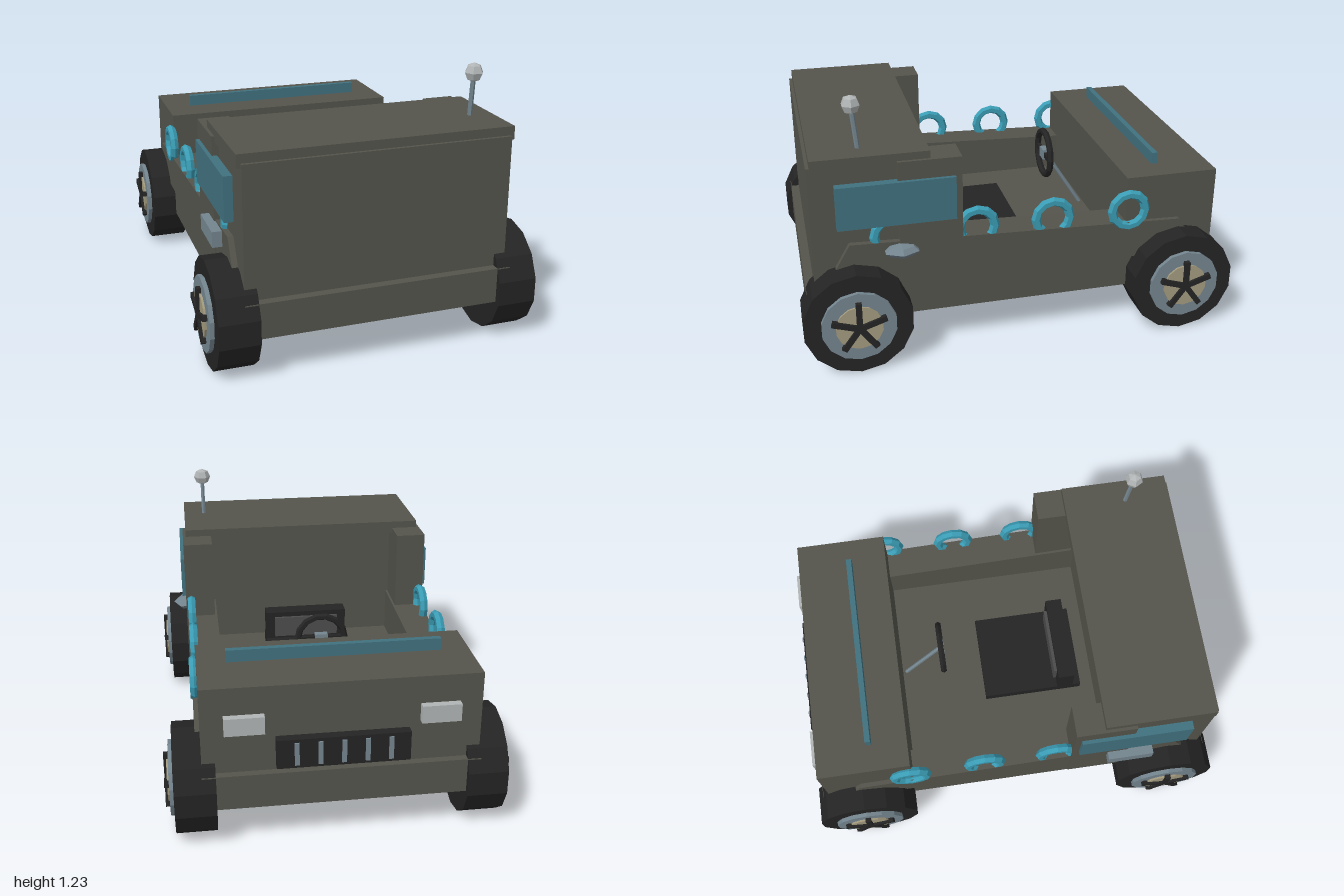
import * as THREE from 'three';

const mat = (name, color) => {
  const m = new THREE.MeshStandardMaterial({ color });
  m.name = name;
  m.flatShading = true;
  return m;
};

export function createModel() {
  const root = new THREE.Group();
  root.name = 'openTruck';
  const body = mat('drabBody', 0x54544c);
  const black = mat('blackRubber', 0x242424);
  const teal = mat('tealRing', 0x3a9cb4);
  const glass = mat('blueGlass', 0x41717f);
  const steel = mat('blueSteel', 0x74858f);
  const hubTan = mat('tanHub', 0xa39a7e);
  const pale = mat('paleGrey', 0xb0b4b4);
  const grey = mat('seatGrey', 0x4c4c4c);

  const add = (name, geo, m, x = 0, y = 0, z = 0, parent = root) => {
    const mesh = new THREE.Mesh(geo, m);
    mesh.name = name;
    mesh.position.set(x, y, z);
    parent.add(mesh);
    return mesh;
  };
  // Box given by its min and max on each axis
  const box = (name, m, x0, x1, y0, y1, z0, z1) =>
    add(name, new THREE.BoxGeometry(x1 - x0, y1 - y0, z1 - z0), m,
      (x0 + x1) / 2, (y0 + y1) / 2, (z0 + z1) / 2);
  // Thin rod between two points
  const rod = (name, m, a, b, r) => {
    const d = b.clone().sub(a);
    const mesh = add(name, new THREE.CylinderGeometry(r, r, d.length(), 6), m);
    mesh.position.copy(a).add(b).multiplyScalar(0.5);
    mesh.quaternion.setFromUnitVectors(new THREE.Vector3(0, 1, 0), d.normalize());
  };

  // Chassis, cab, roof and hood
  box('chassis', body, -0.6, 0.6, 0.2, 0.36, -0.97, 0.97);
  box('cab', body, -0.592, 0.592, 0.36, 0.95, 0.47, 0.93);
  box('roof', body, -0.61, 0.61, 0.93, 0.99, 0.405, 0.915);
  box('hood', body, -0.597, 0.597, 0.36, 0.755, -0.935, -0.5);
  box('hoodStrip', glass, -0.47, 0.47, 0.75, 0.81, -0.693, -0.667);

  // Side panels with sloping ends
  const panel = new THREE.Shape();
  panel.moveTo(-0.9, 0.36);
  panel.lineTo(0.87, 0.36);
  panel.lineTo(0.76, 0.53);
  panel.lineTo(-0.77, 0.585);
  panel.closePath();
  const panelGeo = new THREE.ExtrudeGeometry(panel, { depth: 0.15, bevelEnabled: false });
  panelGeo.rotateY(Math.PI / 2);
  panelGeo.translate(-0.075, 0, 0);

  for (const s of [-1, 1]) {
    add('sidePanel', panelGeo, body, s * 0.543, 0, 0);
    add('doorPost', new THREE.BoxGeometry(0.145, 0.655, 0.28), body, s * 0.552, 0.628, 0.41);
    add('sideWindow', new THREE.BoxGeometry(0.04, 0.2, 0.52), glass, s * 0.622, 0.77, 0.56);
    add('headlight', new THREE.BoxGeometry(0.17, 0.08, 0.04), pale, s * 0.415, 0.59, -0.948);
    // Rings along the sides
    for (const z of [0.58, 0.2, -0.15, -0.51]) {
      const ring = add('sideRing', new THREE.TorusGeometry(0.08, 0.022, 6, 12), teal,
        s * (z < -0.4 ? 0.608 : 0.598), 0.6, z);
      ring.rotation.y = Math.PI / 2;
    }
  }

  // Side fittings, different on each side
  add('leftSideFitting', new THREE.SphereGeometry(1, 6, 4), steel, 0.62, 0.54, 0.545)
    .scale.set(0.07, 0.03, 0.085);
  box('rightSideBox', steel, -0.662, -0.61, 0.5, 0.572, 0.45, 0.67);

  // Grille with slats
  box('grille', black, -0.285, 0.285, 0.385, 0.52, -0.977, -0.93);
  for (let i = -2; i <= 2; i++) {
    box('grilleSlat', steel, i * 0.1 - 0.01, i * 0.1 + 0.01, 0.4, 0.505, -0.985, -0.97);
  }

  // Antenna
  rod('antennaRod', steel, new THREE.Vector3(0.505, 0.98, 0.7), new THREE.Vector3(0.505, 1.17, 0.718), 0.011);
  add('antennaKnob', new THREE.SphereGeometry(0.043, 6, 4), pale, 0.505, 1.187, 0.72);

  // Seat
  box('seatCushion', black, -0.21, 0.21, 0.36, 0.41, -0.09, 0.4);
  box('seatBack', black, -0.21, 0.21, 0.4, 0.555, 0.28, 0.36);
  box('seatBackPad', grey, -0.165, 0.165, 0.425, 0.53, 0.265, 0.285);

  // Steering wheel and column
  add('steeringWheel', new THREE.TorusGeometry(0.112, 0.016, 6, 14), black, 0, 0.655, -0.285);
  box('steeringSpoke', black, -0.105, 0.105, 0.642, 0.668, -0.295, -0.275);
  box('steeringHub', steel, -0.03, 0.03, 0.63, 0.68, -0.3, -0.27);
  rod('steeringColumn', steel, new THREE.Vector3(0, 0.655, -0.29), new THREE.Vector3(0, 0.36, -0.48), 0.01);

  // Wheels: tyre, rim, hub disc and five spokes, built along +x
  const disc = (r, x0, x1, n = 14) => {
    const g = new THREE.CylinderGeometry(r, r, x1 - x0, n);
    g.rotateZ(Math.PI / 2);
    g.rotateX(Math.PI / 2);
    g.translate((x0 + x1) / 2, 0, 0);
    return g;
  };
  for (const s of [-1, 1]) {
    for (const z of [-0.758, 0.758]) {
      const wheel = new THREE.Group();
      wheel.name = 'wheel';
      wheel.position.set(0, 0.245, z);
      if (s < 0) wheel.rotation.y = Math.PI;
      root.add(wheel);
      add('tyre', disc(0.245, 0.54, 0.718), black, 0, 0, 0, wheel);
      add('rim', disc(0.167, 0.7, 0.737), steel, 0, 0, 0, wheel);
      add('hubDisc', disc(0.105, 0.72, 0.746), hubTan, 0, 0, 0, wheel);
      for (let i = 0; i < 5; i++) {
        const g = new THREE.BoxGeometry(0.03, 0.125, 0.026);
        g.translate(0.743, 0.0625, 0);
        add('spoke', g, black, 0, 0, 0, wheel).rotation.x = (i * Math.PI * 2) / 5;
      }
    }
  }
  return root;
}
